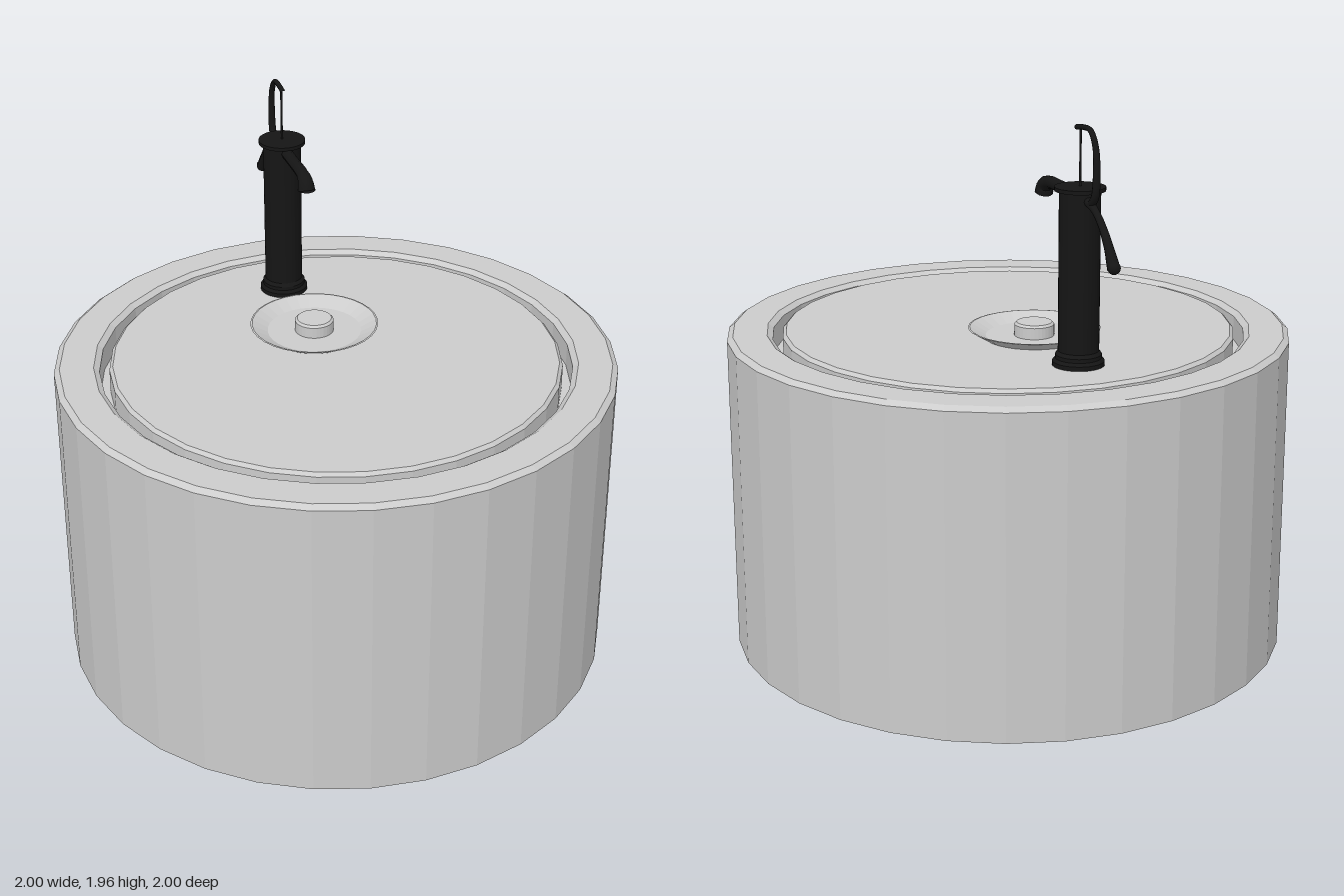
import * as THREE from 'three';

const stone = new THREE.MeshStandardMaterial({ color: 0xcccccc, flatShading: true, side: THREE.DoubleSide });
const iron = new THREE.MeshStandardMaterial({ color: 0x151515, flatShading: true, side: THREE.DoubleSide });
const ironSmooth = new THREE.MeshStandardMaterial({ color: 0x151515 });

const add = (parent, name, geometry, material) => {
  const mesh = new THREE.Mesh(geometry, material);
  mesh.name = name;
  parent.add(mesh);
  return mesh;
};

// Turned part from [radius, height] pairs
const turned = (points, sides = 32) =>
  new THREE.LatheGeometry(points.map(([r, y]) => new THREE.Vector2(r, y)), sides);

// Round bar through [x, y] points, whose radius follows radii along its length
function bar(points, radii, steps = 24, sides = 10) {
  const curve = new THREE.CatmullRomCurve3(points.map(([x, y]) => new THREE.Vector3(x, y, 0)));
  const geometry = new THREE.TubeGeometry(curve, steps, 1, sides);
  const pos = geometry.attributes.position;
  const p = new THREE.Vector3();
  for (let i = 0; i <= steps; i++) {
    const t = (i / steps) * (radii.length - 1);
    const k = Math.min(Math.floor(t), radii.length - 2);
    const r = THREE.MathUtils.lerp(radii[k], radii[k + 1], t - k);
    const centre = curve.getPointAt(i / steps);
    for (let j = 0; j <= sides; j++) {
      const n = i * (sides + 1) + j;
      p.fromBufferAttribute(pos, n).sub(centre).multiplyScalar(r).add(centre);
      pos.setXYZ(n, p.x, p.y, p.z);
    }
  }
  geometry.computeVertexNormals();
  return geometry;
}

function createPump() {
  const pump = new THREE.Group();
  pump.name = 'handPump';

  // Column with flared foot and overhanging cap
  add(pump, 'column', turned([
    [0, 1.15], [0.088, 1.15], [0.088, 1.165], [0.078, 1.175], [0.078, 1.188], [0.069, 1.2],
    [0.069, 1.738], [0.085, 1.74], [0.085, 1.753], [0, 1.755],
  ]), iron);

  // Spout bending down into a flared mouth
  add(pump, 'spout', bar(
    [[0.05, 1.722], [0.16, 1.722], [0.25, 1.72], [0.29, 1.705], [0.3, 1.678]],
    [0.021, 0.021, 0.021, 0.022, 0.032]), ironSmooth);
  const mouth = add(pump, 'spoutMouth', new THREE.CircleGeometry(0.032, 16), iron);
  mouth.position.set(0.3, 1.68, 0);
  mouth.rotation.x = Math.PI / 2;

  // Thin piston rod
  const rod = add(pump, 'pistonRod', new THREE.CylinderGeometry(0.004, 0.004, 0.2, 8), ironSmooth);
  rod.position.y = 1.845;

  // Curved lever arm over the rod
  add(pump, 'leverArm', bar(
    [[0.03, 1.943], [-0.02, 1.95], [-0.08, 1.947], [-0.118, 1.9], [-0.128, 1.82], [-0.118, 1.74], [-0.085, 1.705]],
    [0.009, 0.009, 0.011, 0.013, 0.014]), ironSmooth);

  // Handle with thick grip
  add(pump, 'handle', bar(
    [[-0.06, 1.715], [-0.11, 1.7], [-0.17, 1.66], [-0.225, 1.6], [-0.268, 1.535]],
    [0.016, 0.012, 0.013, 0.016, 0.022]), ironSmooth);
  const grip = add(pump, 'handleEnd', new THREE.SphereGeometry(0.022, 12, 8), ironSmooth);
  grip.position.set(-0.268, 1.54, 0);

  pump.position.set(-0.415, 0, -0.38);
  pump.rotation.y = -Math.PI / 4;
  return pump;
}

export function createModel() {
  const model = new THREE.Group();
  model.name = 'wellWithPump';

  // Hollow ring wall, bevelled on top and open underneath
  add(model, 'wellRing', turned([
    [1, 0], [1, 1.135], [0.98, 1.15], [0.86, 1.15], [0.84, 1.135], [0.84, 0],
  ]), stone);

  // Lid set inside the ring, with a sunken ledge around it
  add(model, 'lid', turned([
    [0, 1.04], [0.84, 1.04], [0.84, 1.05], [0.805, 1.05], [0.805, 1.138], [0.793, 1.15], [0, 1.15],
  ]), stone);

  // Drain dish and plug below the spout
  const dish = new THREE.Group();
  dish.name = 'drain';
  dish.position.set(-0.15, 0, -0.12);
  add(dish, 'dish', turned([
    [0, 1.151], [0.175, 1.151], [0.232, 1.185], [0.226, 1.186], [0.17, 1.157], [0, 1.157],
  ]), stone);
  add(dish, 'plug', turned([
    [0.07, 1.156], [0.07, 1.197], [0.062, 1.205], [0, 1.205],
  ]), stone);
  model.add(dish);

  model.add(createPump());
  return model;
}
